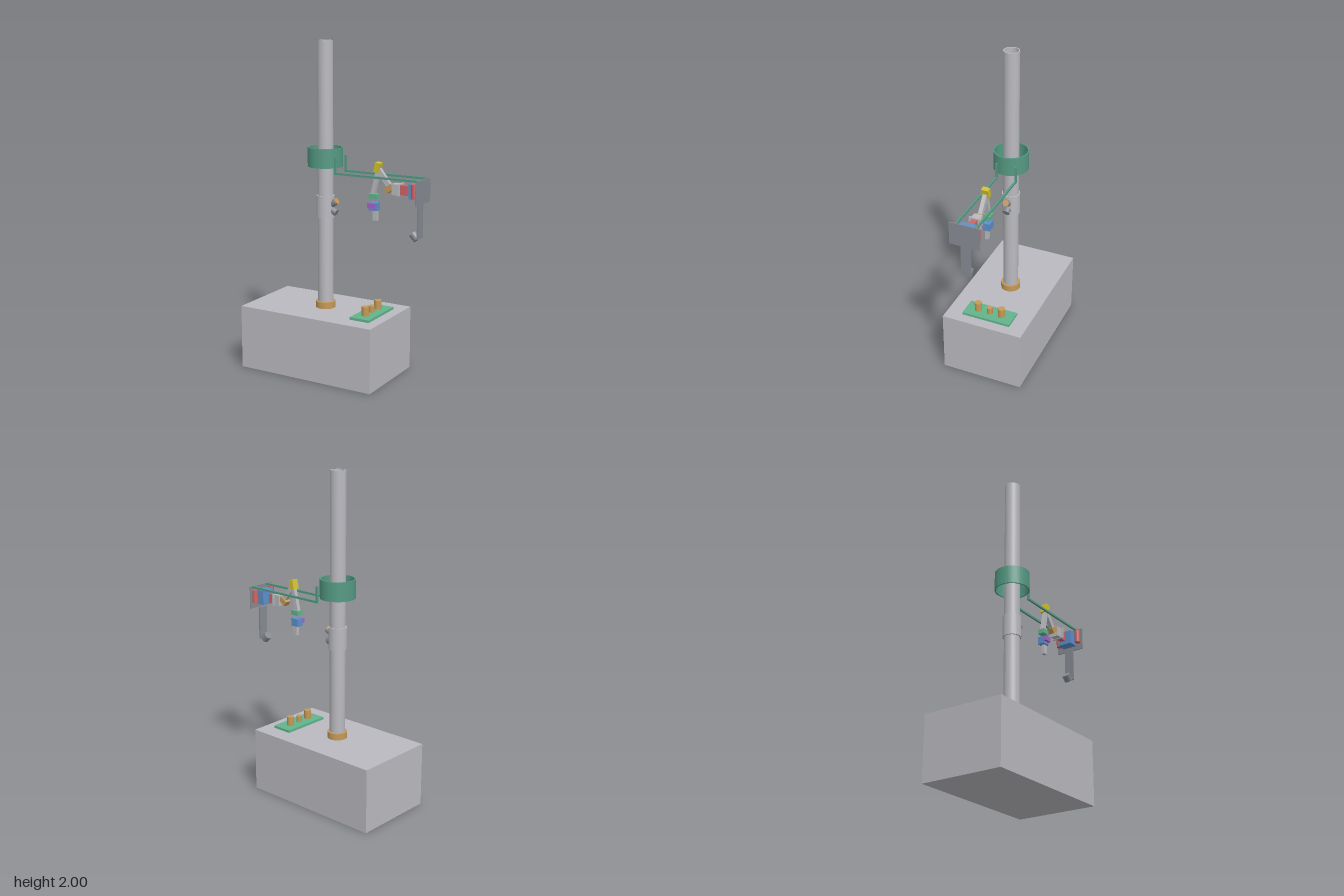
import * as THREE from 'three';

const mat = (name, color) => {
  const m = new THREE.MeshStandardMaterial({ color });
  m.name = name;
  return m;
};

export function createModel() {
  const gray = mat('light gray', 0xb9b9bf);
  const dark = mat('slate gray', 0x868b92);
  const teal = mat('teal', 0x559a83);
  const green = mat('green', 0x62b48c);
  const tan = mat('tan', 0xc49a58);
  const red = mat('red', 0xcc6666);
  const blue = mat('blue', 0x5c90cc);
  const yellow = mat('yellow', 0xd0c032);
  const purple = mat('purple', 0xa862cc);

  const model = new THREE.Group();
  model.name = 'mastRobot';

  const add = (name, geometry, material, x, y, z) => {
    const mesh = new THREE.Mesh(geometry, material);
    mesh.name = name;
    mesh.position.set(x, y, z);
    model.add(mesh);
    return mesh;
  };
  // Box given by its ranges on each axis
  const box = (name, material, [x0, x1], [y0, y1], [z0, z1]) =>
    add(name, new THREE.BoxGeometry(x1 - x0, y1 - y0, z1 - z0), material,
      (x0 + x1) / 2, (y0 + y1) / 2, (z0 + z1) / 2);
  // Upright cylinder between two heights
  const post = (name, material, r, x, z, y0, y1) =>
    add(name, new THREE.CylinderGeometry(r, r, y1 - y0, 32), material, x, (y0 + y1) / 2, z);
  // Cylinder between two points in the z = 0 plane
  const rod = (name, material, r, [ax, ay], [bx, by]) => {
    const len = Math.hypot(bx - ax, by - ay);
    const m = add(name, new THREE.CylinderGeometry(r, r, len, 28), material, (ax + bx) / 2, (ay + by) / 2, 0);
    m.rotation.z = Math.atan2(by - ay, bx - ax) - Math.PI / 2;
    return m;
  };
  // Flat bar between two points in the z = 0 plane
  const bar = (name, material, thick, depth, [ax, ay], [bx, by]) => {
    const len = Math.hypot(bx - ax, by - ay);
    const m = add(name, new THREE.BoxGeometry(len, thick, depth), material, (ax + bx) / 2, (ay + by) / 2, 0);
    m.rotation.z = Math.atan2(by - ay, bx - ax);
    return m;
  };
  // Hollow tube around the mast axis
  const tube = (name, material, outer, inner, y0, y1) => {
    const shape = new THREE.Shape().absarc(0, 0, outer, 0, Math.PI * 2);
    shape.holes.push(new THREE.Path().absarc(0, 0, inner, 0, Math.PI * 2, true));
    const g = new THREE.ExtrudeGeometry(shape, { depth: y1 - y0, bevelEnabled: false, curveSegments: 32 });
    g.rotateX(-Math.PI / 2);
    return add(name, g, material, -0.1, y0, 0);
  };

  // Base and mast
  box('base', gray, [-0.55, 0.35], [0, 0.39], [-0.257, 0.257]);
  tube('mast', gray, 0.047, 0.04, 0.39, 2);
  tube('mastCollar', tan, 0.06, 0.046, 0.39, 0.43);
  tube('mastSleeve', gray, 0.055, 0.046, 0.95, 1.085);
  tube('liftRing', teal, 0.105, 0.097, 1.26, 1.375);

  // Paired sensors on the sleeve
  rod('upperSensor', dark, 0.021, [-0.058, 1.033], [-0.026, 1.052]);
  rod('upperSensorLens', tan, 0.019, [-0.028, 1.051], [-0.019, 1.056]);
  rod('lowerSensor', dark, 0.021, [-0.058, 1.0], [-0.024, 0.983]);

  // Control panel with buttons
  box('panel', green, [0.157, 0.285], [0.39, 0.405], [-0.155, 0.155]);
  for (const z of [-0.077, 0.077]) post('panelButton', tan, 0.022, 0.22, z, 0.405, 0.46);
  post('middleButton', tan, 0.018, 0.22, 0, 0.405, 0.445);

  // Twin rails hanging from the ring
  for (const z of [-0.071, 0.051]) {
    box('railHanger', teal, [-0.008, 0.004], [1.225, 1.325], [z - 0.006, z + 0.006]);
    box('rail', teal, [-0.008, 0.545], [1.224, 1.236], [z - 0.006, z + 0.006]);
  }

  // End plate, motors and the camera below it
  box('endPlate', dark, [0.541, 0.547], [1.095, 1.235], [-0.092, 0.092]);
  box('motorBox', blue, [0.476, 0.541], [1.122, 1.21], [-0.046, 0.046]);
  for (const z of [-0.068, 0.068]) post('sideMotor', red, 0.018, 0.523, z, 1.135, 1.215);
  box('cameraStrip', dark, [0.524, 0.534], [0.89, 1.095], [-0.03, 0.03]);
  rod('camera', dark, 0.025, [0.515, 0.885], [0.484, 0.916]);

  // Arm: shoulder, elbow and links
  box('armMotor', red, [0.408, 0.455], [1.135, 1.192], [-0.017, 0.017]);
  box('shoulderFlange', gray, [0.397, 0.408], [1.13, 1.2], [-0.037, 0.037]);
  box('shoulder', gray, [0.357, 0.397], [1.133, 1.197], [-0.026, 0.026]);
  bar('shoulderJoint', tan, 0.034, 0.04, [0.313, 1.15], [0.357, 1.182]);
  bar('upperLink', gray, 0.03, 0.024, [0.262, 1.268], [0.34, 1.168]);
  bar('foreLink', gray, 0.026, 0.024, [0.262, 1.28], [0.226, 1.12]);
  bar('elbow', yellow, 0.03, 0.044, [0.25, 1.254], [0.262, 1.31]);

  // Wrist and gripper
  box('wrist', green, [0.206, 0.26], [1.096, 1.125], [-0.021, 0.021]);
  box('gripperBody', blue, [0.206, 0.26], [1.027, 1.074], [-0.021, 0.021]);
  box('gripperMotor', purple, [0.206, 0.254], [1.043, 1.073], [0.021, 0.039]);
  box('gripperFinger', gray, [0.226, 0.256], [0.967, 1.027], [-0.01, 0.01]);

  return model;
}
